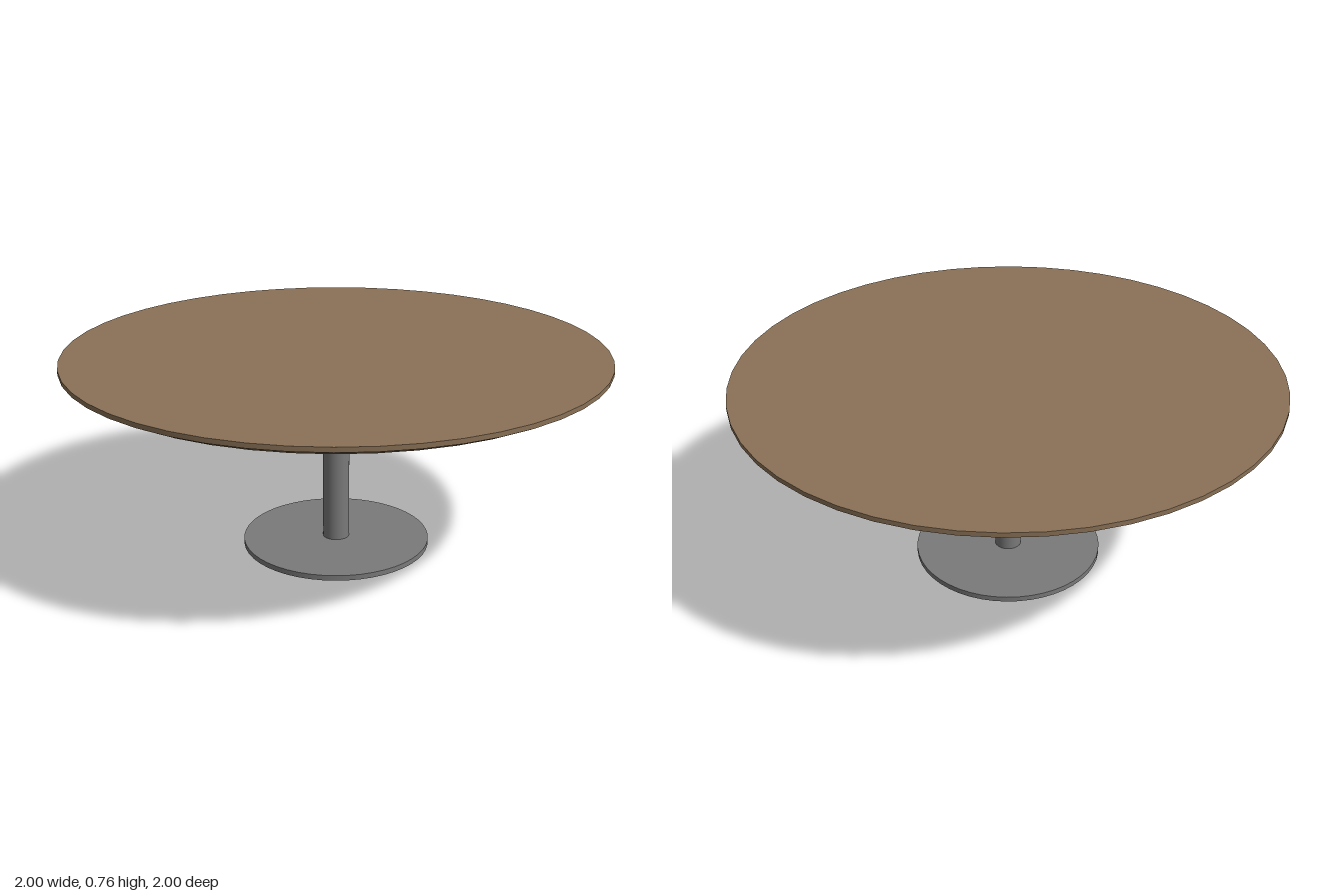
import * as THREE from 'three';
import { toCreasedNormals } from 'three/addons/utils/BufferGeometryUtils.js';

const SEGMENTS = 48;

export function createModel() {
  const table = new THREE.Group();
  table.name = 'pedestalTable';

  const wood = new THREE.MeshStandardMaterial({ color: 0x8a7156 });
  wood.name = 'brown wood';
  const metal = new THREE.MeshStandardMaterial({ color: 0x7a7a7a });
  metal.name = 'grey metal';

  const add = (name, geometry, material, y = 0) => {
    const mesh = new THREE.Mesh(geometry, material);
    mesh.name = name;
    mesh.position.y = y;
    table.add(mesh);
    return mesh;
  };

  // Round top, flat below with a soft curve up to a thin rim
  const profile = [
    [0, 0.685], [0.76, 0.685], [0.89, 0.705], [0.96, 0.723],
    [1, 0.743], [1, 0.76], [0, 0.76],
  ].map(([r, y]) => new THREE.Vector2(r, y));
  add('tableTop', toCreasedNormals(new THREE.LatheGeometry(profile, SEGMENTS), 0.5), wood);

  // Foot plate and column
  add('basePlate', new THREE.CylinderGeometry(0.355, 0.355, 0.02, SEGMENTS), metal, 0.01);
  add('column', new THREE.CylinderGeometry(0.05, 0.05, 0.64, 32), metal, 0.34);

  // Four-armed bracket under the top, with concave arcs between the arms
  const reach = 0.425, half = 0.022, radius = 0.22, c = half + radius;
  const outline = new THREE.Shape();
  for (let i = 0; i < 4; i++) {
    const turn = (i * Math.PI) / 2;
    const point = (x, y) => new THREE.Vector2(x, y).rotateAround(new THREE.Vector2(), turn);
    const a = point(reach, -half), b = point(reach, half);
    const centre = point(c, c);
    if (i === 0) outline.moveTo(a.x, a.y);
    else outline.lineTo(a.x, a.y);
    outline.lineTo(b.x, b.y);
    outline.absarc(centre.x, centre.y, radius, turn + 1.5 * Math.PI, turn + Math.PI, true);
  }
  outline.closePath();
  const bracket = new THREE.ExtrudeGeometry(outline, { depth: 0.034, bevelEnabled: false, curveSegments: 8 });
  bracket.rotateX(-Math.PI / 2);
  add('bracket', toCreasedNormals(bracket, 0.5), metal, 0.652);

  return table;
}
